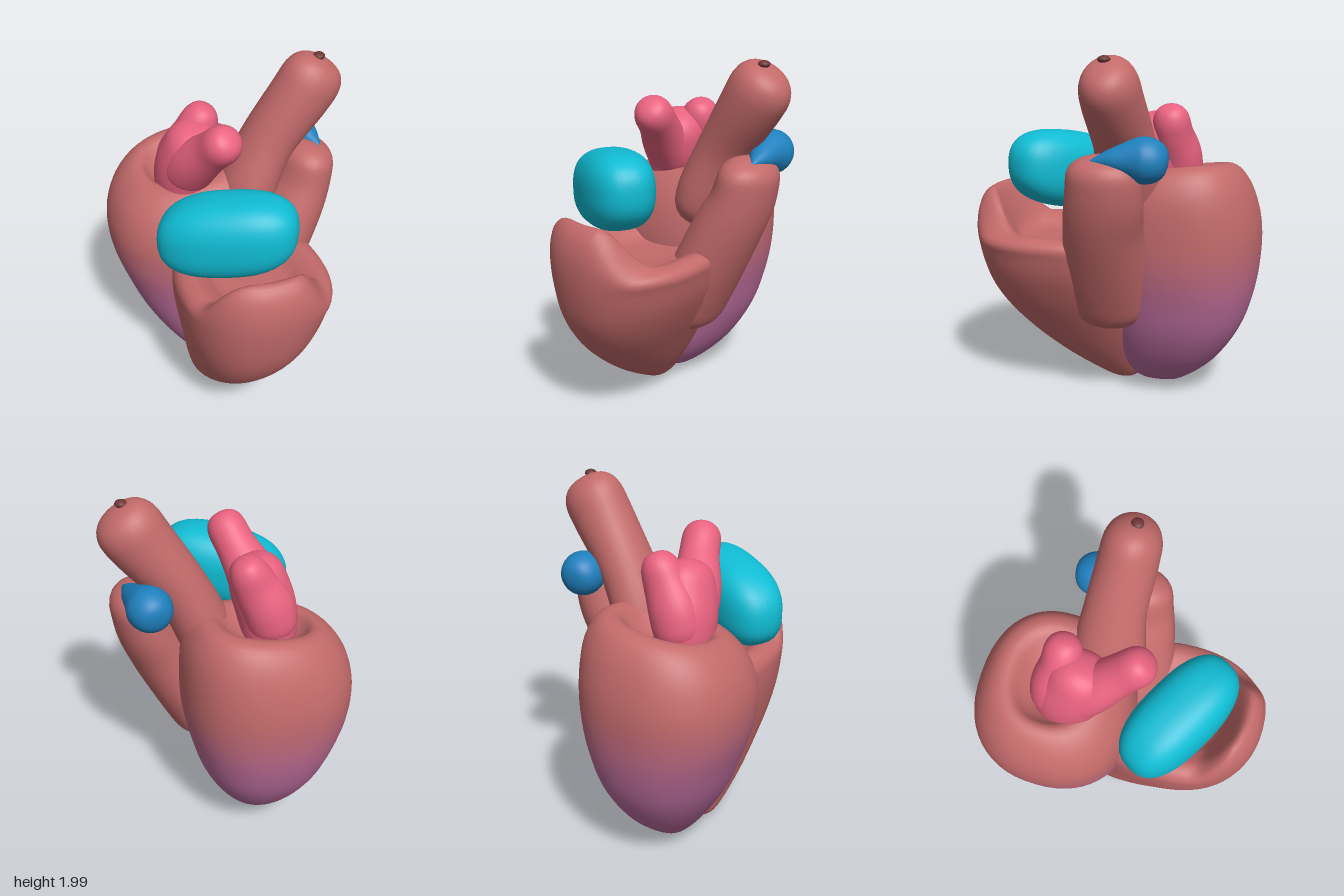
import * as THREE from 'three';

const RED = 0xc36a6a, PURPLE = 0xb86b9c, PINK = 0xe8627f, CYAN = 0x10bcd4, BLUE = 0x1f80bd;
const { clamp, smoothstep } = THREE.MathUtils;

// Smooth interpolation through rows of numbers, t from 0 to 1
function sample(rows, t) {
  const last = rows.length - 1;
  const k = Math.min(Math.floor(t * last), last - 1), f = t * last - k;
  const row = i => rows[clamp(i, 0, last)];
  return rows[0].map((_, c) => {
    const [p, q, r, s] = [row(k - 1)[c], row(k)[c], row(k + 1)[c], row(k + 2)[c]];
    return q + 0.5 * f * (r - p + f * (2 * p - 5 * q + 4 * r - s + f * (3 * (q - r) + s - p)));
  });
}

// Closed skin over n + 1 rings of m points each
function skin(n, m, point) {
  const pos = [], idx = [];
  for (let i = 0; i <= n; i++) {
    for (let j = 0; j < m; j++) pos.push(...point(i / n, j / m * Math.PI * 2));
  }
  for (let i = 0; i < n; i++) {
    for (let j = 0; j < m; j++) {
      const a = i * m + j, b = i * m + (j + 1) % m;
      idx.push(a, a + m, b, b, a + m, b + m);
    }
  }
  const g = new THREE.BufferGeometry();
  g.setAttribute('position', new THREE.Float32BufferAttribute(pos, 3));
  g.setIndex(idx);
  g.computeVertexNormals();
  return g;
}

// Horizontal outlines stacked upward; rows are [y, xMin, xMax, zMin, zMax]
function stack(rows, n, m, warp) {
  return skin(n, m, (t, a) => {
    const [y, x0, x1, z0, z1] = sample(rows, t);
    const round = v => Math.sign(v) * Math.abs(v) ** 0.88;
    const x = (x0 + x1) / 2 + (x1 - x0) / 2 * round(Math.cos(a));
    const z = (z0 + z1) / 2 + (z1 - z0) / 2 * round(Math.sin(a));
    return [x, warp(x, y, z), z];
  });
}

// Round-ended vessel; rows are [x, y, z, radiusA, radiusB], ref sets the radiusB direction
function vessel(rows, ref, cap = 0.2) {
  const at = t => new THREE.Vector3(...sample(rows, t).slice(0, 3));
  return skin(40, 28, (t, a) => {
    const s = (1 - Math.cos(Math.PI * t)) / 2;
    const [x, y, z, ra, rb] = sample(rows, s);
    const tan = at(Math.min(1, s + 0.01)).sub(at(Math.max(0, s - 0.01))).normalize();
    const u = tan.clone().cross(ref).normalize(), v = u.clone().cross(tan);
    const end = Math.max(0, 1 - Math.min(s, 1 - s) / cap);
    const k = Math.sqrt(Math.max(0, 1 - end * end));
    return new THREE.Vector3(x, y, z)
      .addScaledVector(u, ra * k * Math.cos(a))
      .addScaledVector(v, rb * k * Math.sin(a)).toArray();
  });
}

export function createModel() {
  const model = new THREE.Group();
  model.name = 'heart';
  const mat = color => new THREE.MeshStandardMaterial({ color });
  const add = (name, geometry, material) => {
    const mesh = new THREE.Mesh(geometry, material);
    mesh.name = name;
    model.add(mesh);
    return mesh;
  };
  const Y = new THREE.Vector3(0, 1, 0), Z = new THREE.Vector3(0, 0, 1);

  // Rear ventricle: a pointed cup with a hollow crown, purple fading to red
  const rows = 48, sides = 56;
  const rear = stack([
    [0.02, -0.19, -0.19, -0.25, -0.25],
    [0.05, -0.25, -0.09, -0.37, -0.1],
    [0.2, -0.37, 0.06, -0.56, 0],
    [0.4, -0.49, 0.17, -0.7, 0.05],
    [0.6, -0.57, 0.23, -0.77, 0.08],
    [0.8, -0.63, 0.27, -0.8, 0.1],
    [1.0, -0.64, 0.28, -0.8, 0.1],
    [1.18, -0.6, 0.26, -0.75, 0.06],
    [1.3, -0.52, 0.19, -0.67, -0.02],
    [1.33, -0.43, 0.1, -0.58, -0.12],
    [1.25, -0.36, 0, -0.49, -0.22],
    [1.12, -0.2, -0.2, -0.35, -0.35],
  ], rows, sides, (x, y, z) =>
    y + clamp((y - 0.9) / 0.4, 0, 1) * (0.15 * (x + 0.2) - 0.12 * (z + 0.4)));
  const bands = [], p = rear.attributes.position;
  for (let i = 0; i < rows; i++) {
    const blend = i > rows * 0.6 ? 1 : smoothstep(p.getY(i * sides), 0.45, 1);
    bands.push(mat(new THREE.Color(PURPLE).lerp(new THREE.Color(RED), blend)));
    rear.addGroup(i * sides * 6, sides * 6, i);
  }
  add('rearVentricle', rear, bands);

  // Front ventricle: its rim stands high at the front and dips behind
  add('frontVentricle', stack([
    [0, -0.2, -0.2, 0, 0],
    [0.04, -0.27, -0.11, -0.1, 0.1],
    [0.2, -0.32, 0.02, -0.16, 0.36],
    [0.4, -0.36, 0.15, -0.2, 0.59],
    [0.6, -0.4, 0.27, -0.2, 0.73],
    [0.8, -0.43, 0.36, -0.2, 0.79],
    [1.0, -0.43, 0.39, -0.16, 0.81],
    [1.14, -0.4, 0.37, -0.13, 0.78],
    [1.2, -0.34, 0.31, -0.08, 0.71],
    [1.12, -0.28, 0.24, -0.03, 0.63],
    [0.98, -0.2, 0.16, 0.05, 0.54],
    [0.95, -0.02, -0.02, 0.3, 0.3],
  ], 48, 64, (x, y, z) => {
    const dip = Math.max(1 - smoothstep(z, 0.5, 0.7), smoothstep(x, 0.08, 0.3));
    return y > 0.88 ? 0.88 + (y - 0.88) * (1 - 0.68 * dip) : y;
  }), mat(RED));

  // Outflow stump rising from the side wall
  add('outflowTract', vessel([
    [0.06, 0.45, 0, 0.15, 0.22],
    [0.18, 0.75, 0, 0.18, 0.24],
    [0.32, 1.05, -0.02, 0.18, 0.22],
    [0.41, 1.25, -0.05, 0.16, 0.21],
    [0.46, 1.48, -0.06, 0.14, 0.19],
  ], Z, 0.13), mat(RED));

  // Great artery with a small opening at its tip
  add('greatArtery', vessel([
    [0.06, 1.02, -0.1, 0.15, 0.18],
    [0.12, 1.24, -0.12, 0.16, 0.2],
    [0.24, 1.5, -0.12, 0.15, 0.17],
    [0.41, 1.75, -0.1, 0.17, 0.16],
    [0.54, 1.95, -0.09, 0.18, 0.15],
  ], Z, 0.18), mat(RED));
  const opening = add('arteryOpening', new THREE.SphereGeometry(0.033, 16, 10), mat(0x6d3636));
  opening.position.set(0.5, 1.975, -0.08);
  opening.scale.y = 0.6;

  // Rear atrium: a leaning body with two lobes
  const atrium = new THREE.Group();
  atrium.name = 'rearAtrium';
  model.add(atrium);
  const lobes = {
    atriumBody: [[-0.22, 1.1, -0.28, 0.14, 0.16], [-0.22, 1.3, -0.25, 0.16, 0.19],
      [-0.19, 1.45, -0.2, 0.16, 0.18], [-0.15, 1.62, -0.15, 0.13, 0.15]],
    frontLobe: [[-0.22, 1.3, -0.22, 0.15, 0.14], [-0.19, 1.45, -0.1, 0.14, 0.13],
      [-0.13, 1.59, 0.03, 0.11, 0.11], [-0.08, 1.72, 0.16, 0.11, 0.11]],
    backLobe: [[-0.24, 1.2, -0.32, 0.13, 0.13], [-0.2, 1.38, -0.32, 0.14, 0.13],
      [-0.13, 1.52, -0.3, 0.12, 0.11], [-0.06, 1.68, -0.29, 0.09, 0.1]],
  };
  for (const [name, path] of Object.entries(lobes)) {
    atrium.add(add(name, vessel(path, Z, 0.22), mat(PINK)));
  }

  // Front atrium: a squarish pillow lying across the front rim
  const pillow = new THREE.SphereGeometry(1, 40, 28);
  const q = pillow.attributes.position;
  for (let i = 0; i < q.count; i++) {
    const v = new THREE.Vector3().fromBufferAttribute(q, i);
    const k = (Math.abs(v.x) ** 2.6 + Math.abs(v.y) ** 2.6 + Math.abs(v.z) ** 2.6) ** (-1 / 2.6);
    v.multiplyScalar(k).multiply(new THREE.Vector3(0.37, 0.225, 0.195));
    q.setXYZ(i, v.x, v.y + 0.16 * v.x, v.z);
  }
  pillow.computeVertexNormals();
  const front = add('frontAtrium', pillow, mat(CYAN));
  front.position.set(-0.17, 1.28, 0.35);
  front.rotation.y = -Math.PI / 6;

  // Teardrop cap behind the outflow stump
  add('sideVessel', vessel([
    [0.5, 1.46, 0, 0.02, 0.02],
    [0.47, 1.47, -0.12, 0.07, 0.065],
    [0.43, 1.47, -0.25, 0.12, 0.12],
    [0.42, 1.45, -0.39, 0.13, 0.13],
  ], Y, 0.35), mat(BLUE));

  return model;
}
